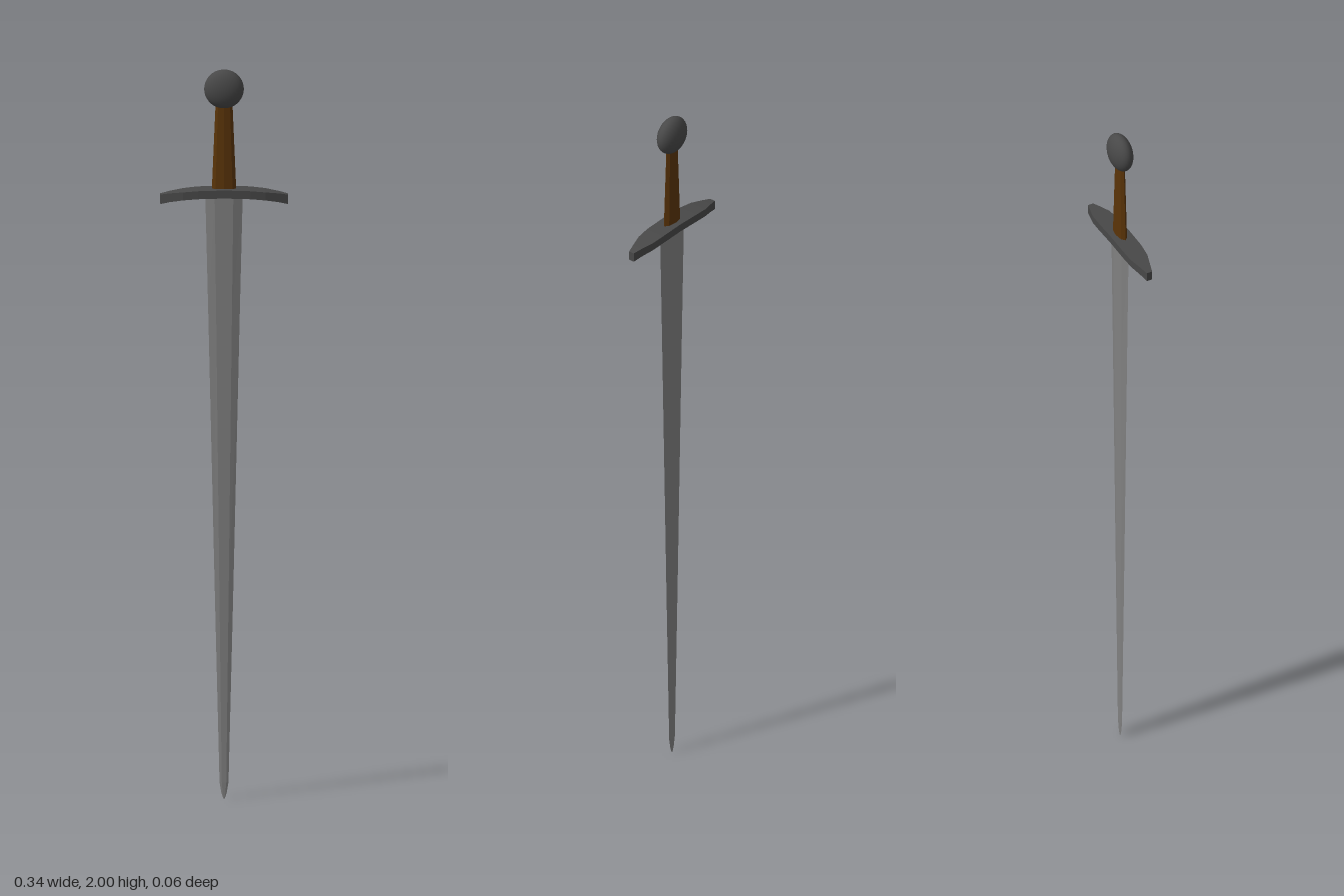
import * as THREE from 'three';

// Joins matching rings of [x, y, z] points into a closed, capped solid.
// Rings run counter-clockwise as seen from the end of the loft.
function loft(rings) {
  const n = rings[0].length;
  const pos = rings.flat(2);
  const index = [];
  for (let i = 0; i < rings.length - 1; i++) {
    for (let j = 0; j < n; j++) {
      const k = (j + 1) % n;
      const a = i * n + j, b = i * n + k;
      index.push(a, b, b + n, a, b + n, a + n);
    }
  }
  const last = (rings.length - 1) * n;
  for (let j = 1; j < n - 1; j++) {
    index.push(0, j + 1, j, last, last + j, last + j + 1);
  }
  const geo = new THREE.BufferGeometry();
  geo.setAttribute('position', new THREE.Float32BufferAttribute(pos, 3));
  geo.setIndex(index);
  const flat = geo.toNonIndexed();
  flat.computeVertexNormals();
  return flat;
}

function part(name, geometry, color, flatShading = true) {
  const mesh = new THREE.Mesh(geometry, new THREE.MeshStandardMaterial({ color, flatShading }));
  mesh.name = name;
  return mesh;
}

export function createModel() {
  const sword = new THREE.Group();
  sword.name = 'sword';
  const iron = 0x484848, steel = 0x808080, leather = 0x5a3408;

  // Blade: bevelled edges around a flat centre, tapering to the point
  const bladeRing = (y, w, t) => [
    [w, y, 0], [w * 0.5, y, -t], [-w * 0.5, y, -t],
    [-w, y, 0], [-w * 0.5, y, t], [w * 0.5, y, t],
  ];
  const bladeSections = [
    [0, 0.002, 0.0005], [0.015, 0.007, 0.001], [0.045, 0.012, 0.002],
    [0.54, 0.024, 0.004], [1.33, 0.042, 0.006], [1.66, 0.05, 0.008],
  ];
  sword.add(part('blade', loft(bladeSections.map((s) => bladeRing(...s))), steel));

  // Crossguard: curved bar, narrowing and drooping toward both ends
  const half = [
    [0, 1.664, 0.028, 0.011], [0.07, 1.662, 0.028, 0.011],
    [0.11, 1.658, 0.025, 0.011], [0.145, 1.652, 0.015, 0.012], [0.17, 1.646, 0.008, 0.013],
  ];
  const guardSections = [
    ...half.slice(1).reverse().map(([x, ...rest]) => [-x, ...rest]),
    ...half,
  ];
  const guardRing = ([x, y, d, h]) => [
    [x, y + h, -d], [x, y + h, d], [x, y - h, d], [x, y - h, -d],
  ];
  sword.add(part('crossguard', loft(guardSections.map(guardRing)), iron));

  // Grip: flattened octagonal handle
  const grip = new THREE.CylinderGeometry(0.022, 0.033, 0.26, 8, 1);
  grip.scale(1, 1, 0.4);
  grip.translate(0, 1.79, 0);
  sword.add(part('grip', grip, leather));

  // Pommel: smooth flattened ball
  const pommel = new THREE.SphereGeometry(0.053, 32, 20);
  pommel.scale(1, 1, 0.56);
  pommel.translate(0, 1.947, 0);
  sword.add(part('pommel', pommel, iron, false));

  return sword;
}
